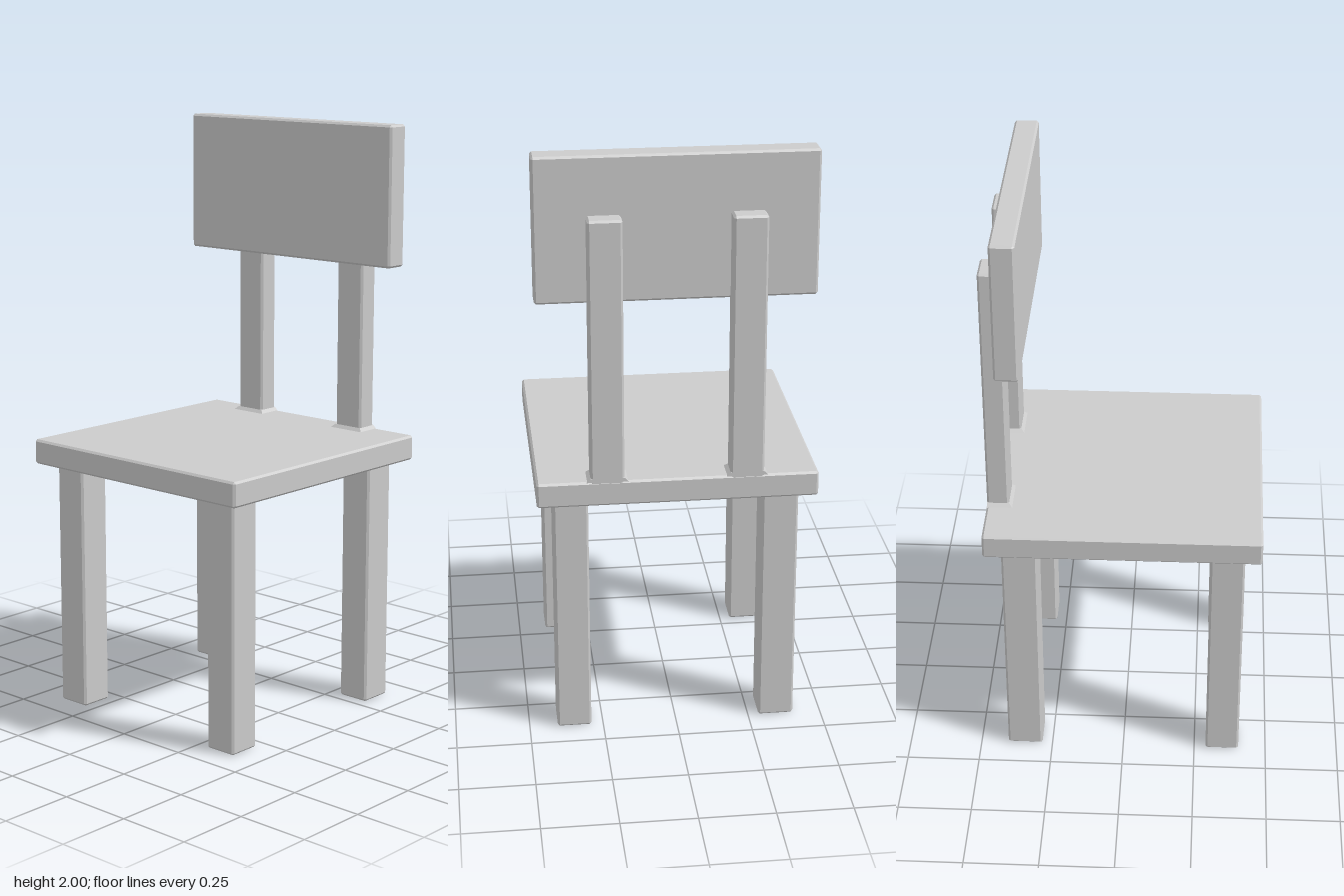
import * as THREE from 'three';
import { ConvexGeometry } from 'three/addons/geometries/ConvexGeometry.js';

const material = new THREE.MeshStandardMaterial({ color: 0xcccccc, flatShading: true });

function addHull(parent, name, points) {
  const mesh = new THREE.Mesh(new ConvexGeometry(points), material);
  mesh.name = name;
  parent.add(mesh);
}

// Box between two corners with a small chamfer on every edge
function addChamferedBox(parent, name, min, max, bevel = 0.007) {
  const points = [];
  for (const sx of [0, 1]) for (const sy of [0, 1]) for (const sz of [0, 1]) {
    const side = [sx, sy, sz];
    for (let outer = 0; outer < 3; outer++) {
      const p = side.map((s, axis) => {
        const inset = axis === outer ? 0 : bevel;
        return s ? max[axis] - inset : min[axis] + inset;
      });
      points.push(new THREE.Vector3(...p));
    }
  }
  addHull(parent, name, points);
}

// Sloped collar between two rectangles [x0, x1, z0, z1] at two heights
function addCollar(parent, name, yA, rectA, yB, rectB) {
  const points = [];
  for (const [y, [x0, x1, z0, z1]] of [[yA, rectA], [yB, rectB]]) {
    for (const x of [x0, x1]) for (const z of [z0, z1]) points.push(new THREE.Vector3(x, y, z));
  }
  addHull(parent, name, points);
}

export function createModel() {
  const chair = new THREE.Group();
  chair.name = 'chair';
  const flare = 0.013;

  // Seat slab
  addChamferedBox(chair, 'seat', [-0.46, 0.85, -0.46], [0.46, 0.935, 0.46]);

  // Four legs, each widening where it meets the seat
  for (const [x0, x1] of [[-0.405, -0.29], [0.285, 0.405]]) {
    for (const [z0, z1] of [[-0.405, -0.285], [0.29, 0.405]]) {
      const leg = new THREE.Group();
      leg.name = 'leg';
      addChamferedBox(leg, 'legShaft', [x0, 0, z0], [x1, 0.88, z1]);
      addCollar(leg, 'legCollar', 0.838, [x0, x1, z0, z1],
        0.852, [x0 - flare, x1 + flare, z0 - flare, z1 + flare]);
      chair.add(leg);
    }
  }

  // Two back posts, level with the rear edge of the seat
  for (const [z0, z1] of [[-0.28, -0.17], [0.175, 0.285]]) {
    const post = new THREE.Group();
    post.name = 'backPost';
    const x0 = 0.385, x1 = 0.459;
    addChamferedBox(post, 'postShaft', [x0, 0.88, z0], [x1, 1.81, z1]);
    addCollar(post, 'postCollar', 0.933, [x0 - flare, x1, z0 - flare, z1 + flare],
      0.946, [x0, x1, z0, z1]);
    chair.add(post);
  }

  // Backrest panel on the seat side of the posts
  addChamferedBox(chair, 'backrest', [0.32, 1.525, -0.45], [0.4, 2, 0.45]);

  return chair;
}
